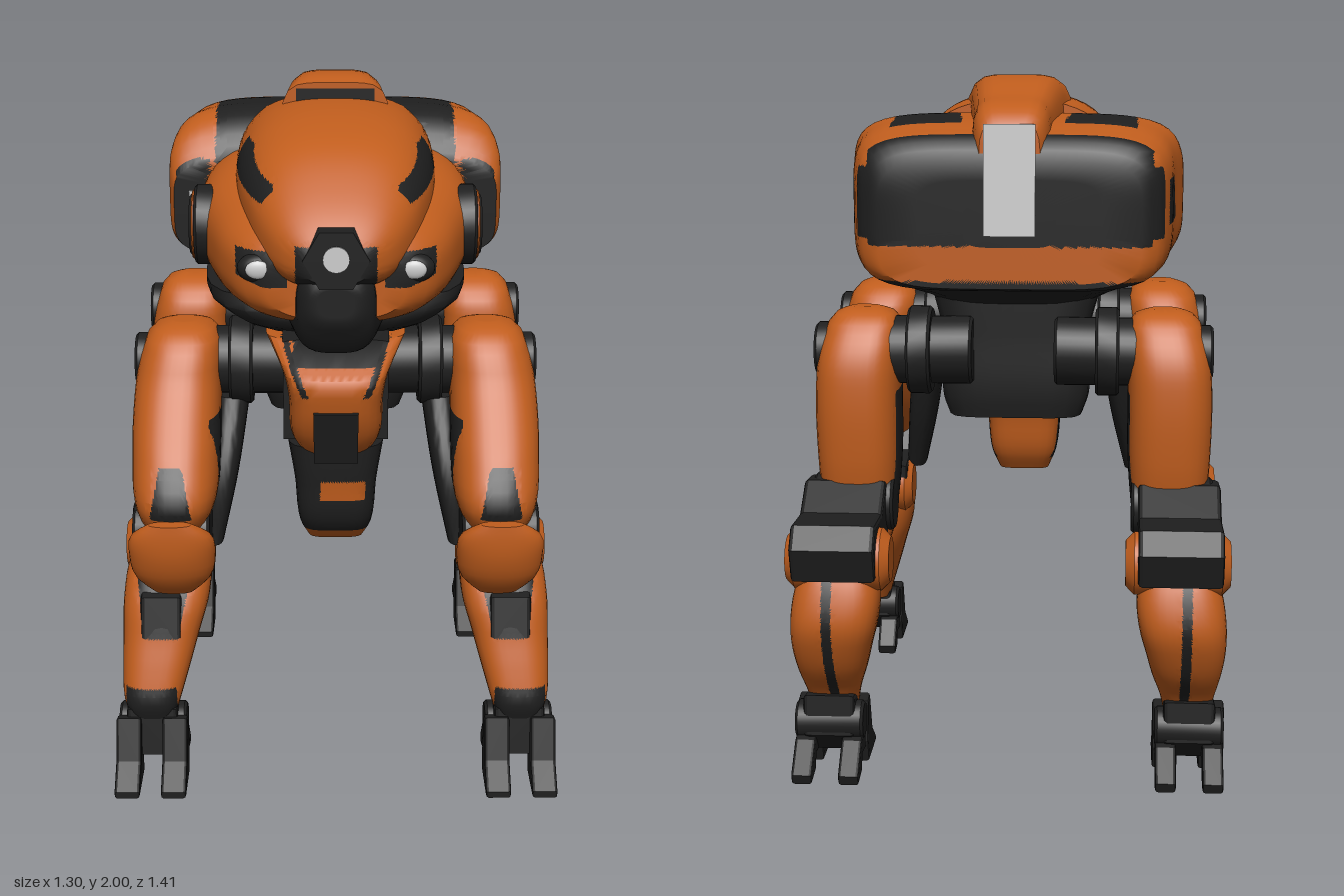
import * as THREE from 'three';
import { toCreasedNormals } from 'three/addons/utils/BufferGeometryUtils.js';

const material = (name, color) => {
  const m = new THREE.MeshStandardMaterial({ color });
  m.name = name;
  return m;
};

// Smooth tube along 'y' or 'z' through rows [t, centreX, halfWidth, low, high] with superellipse sections.
// paint(x, y, z) gives the material index; faces on a colour border are split so that the border is crisp.
function loft(axis, rows, e, paint = () => 0, around = 40) {
  const spline = new THREE.CubicInterpolant(rows.map(r => r[0]), rows.flatMap(r => r.slice(1)), 4);
  const ring = (t, k = 1) => {
    const [c, hw, lo, hi] = Array.from(spline.evaluate(t));
    const mid = (lo + hi) / 2, h = (hi - lo) / 2;
    return Array.from({ length: around + 1 }, (_, j) => {
      const a = (j % around) / around * Math.PI * 2, ca = Math.cos(a), sa = Math.sin(a);
      const r = k * (Math.abs(ca) ** e + Math.abs(sa) ** e) ** (-1 / e);
      return axis === 'z'
        ? new THREE.Vector3(c + hw * r * ca, mid + h * r * sa, t)
        : new THREE.Vector3(c + hw * r * ca, t, mid - h * r * sa);
    });
  };
  const caps = [0.001, 0.35, 0.7], first = rows[0][0], last = rows[rows.length - 1][0];
  const rings = caps.map(k => ring(first, k));
  for (let i = 0; i < rows.length - 1; i++) {
    const a = rows[i][0], b = rows[i + 1][0], n = Math.max(2, Math.ceil((b - a) / 0.03));
    for (let j = 0; j < n; j++) rings.push(ring(a + (b - a) * j / n));
  }
  rings.push(ring(last), ...caps.slice().reverse().map(k => ring(last, k)));
  const buckets = [[], [], []];
  const face = (a, b, c, depth) => {
    const m = a.clone().add(b).add(c).divideScalar(3), id = paint(m.x, m.y, m.z);
    if (depth && [a, b, c].some(p => paint(p.x, p.y, p.z) !== id)) {
      const [ab, bc, ca] = [[a, b], [b, c], [c, a]].map(([p, q]) => p.clone().lerp(q, 0.5));
      for (const t of [[a, ab, ca], [ab, b, bc], [ca, bc, c], [ab, bc, ca]]) face(...t, depth - 1);
    } else for (const v of [a, b, c]) buckets[id].push(v.x, v.y, v.z);
  };
  for (let i = 0; i < rings.length - 1; i++) for (let j = 0; j < around; j++) {
    face(rings[i][j], rings[i][j + 1], rings[i + 1][j + 1], 2);
    face(rings[i][j], rings[i + 1][j + 1], rings[i + 1][j], 2);
  }
  let geo = new THREE.BufferGeometry();
  geo.setAttribute('position', new THREE.Float32BufferAttribute(buckets.flat(), 3));
  geo = toCreasedNormals(geo, 0.75);
  let start = 0;
  buckets.forEach((b, i) => {
    if (b.length) geo.addGroup(start, b.length / 3, i);
    start += b.length / 3;
  });
  return geo;
}

// Copy reflected across x = 0, with corner order restored
function mirrored(source) {
  const geo = source.index ? source.toNonIndexed() : source.clone();
  for (const [key, attr] of Object.entries(geo.attributes)) {
    if (key === 'uv') continue;
    for (let i = 0; i < attr.count; i += 3) {
      const p = [0, 2, 1].map(k => [-attr.getX(i + k), attr.getY(i + k), attr.getZ(i + k)]);
      p.forEach((v, k) => attr.setXYZ(i + k, ...v));
    }
  }
  return geo;
}

// Chamfered drum along x from x0 to x1
function drum(x0, x1, y, z, r, b = 0.008) {
  const h = (x1 - x0) / 2;
  const profile = [[0, -h], [r - b, -h], [r, b - h], [r, h - b], [r - b, h], [0, h]].map(p => new THREE.Vector2(...p));
  return toCreasedNormals(new THREE.LatheGeometry(profile, 32).rotateZ(-Math.PI / 2), 0.5).translate((x0 + x1) / 2, y, z);
}
const block = (w, h, d, x, y, z, tilt = 0) =>
  new THREE.BoxGeometry(w, h, d).rotateX(tilt).translate(x, y, z);

// Side outline of [z, y] points extruded from x0 to x1 with bevelled rims
function slab(points, x0, x1, bevel = 0.012) {
  const shape = new THREE.Shape(points.map(([z, y]) => new THREE.Vector2(-z, y)));
  return new THREE.ExtrudeGeometry(shape, {
    depth: x1 - x0 - 2 * bevel, bevelThickness: bevel, bevelSize: bevel, bevelOffset: -bevel, bevelSegments: 2,
  }).translate(0, 0, x0 + bevel).rotateY(Math.PI / 2);
}

export function createModel() {
  const model = new THREE.Group();
  model.name = 'walker';
  const orange = material('orange armour', 0xc05d1d), dark = material('dark metal', 0x1f1f1f);
  const light = material('light grey', 0xcccccc), all = [orange, dark, light];
  const add = (name, geo, mat = all) => {
    const mesh = new THREE.Mesh(geo, mat);
    mesh.name = name;
    model.add(mesh);
  };
  const pair = (name, geo, mat = all) => {
    add(name + 'Left', geo, mat);
    add(name + 'Right', mirrored(geo), mat);
  };

  // Head
  add('headDome', loft('z', [
    [-0.1, 0, 0.29, 1.5, 1.93], [0.1, 0, 0.29, 1.5, 1.94], [0.3, 0, 0.28, 1.5, 1.92], [0.45, 0, 0.25, 1.5, 1.875],
    [0.58, 0, 0.2, 1.52, 1.785], [0.66, 0, 0.14, 1.54, 1.71], [0.695, 0, 0.09, 1.56, 1.665]], 2.6,
    (x, y, z) => {
      const ax = Math.abs(x), low = 1.785 - Math.max(0, z - 0.2) * 0.12;
      const strip = ax > 0.17 && z > 0.19 && z < 0.54 && y > low && y < 1.86 - Math.max(0, z - 0.3) * 0.3;
      return strip || (z > 0.55 && y < 1.66 && ax < 0.11) ? 1 : 0;
    }, 64));
  add('cheeks', loft('z', [
    [-0.05, 0, 0.38, 1.42, 1.82], [0.1, 0, 0.395, 1.41, 1.82], [0.22, 0, 0.39, 1.41, 1.8], [0.36, 0, 0.355, 1.4, 1.76],
    [0.5, 0, 0.305, 1.41, 1.71], [0.58, 0, 0.25, 1.42, 1.67], [0.62, 0, 0.19, 1.44, 1.64]], 2.8,
    (x, y, z) => {
      const ax = Math.abs(x);
      const eye = z > 0.5 && y > 1.53 + Math.max(0, ax - 0.2) * 0.3 && y < 1.625 && ax > 0.13 && ax < 0.275;
      return eye || y < 1.425 ? 1 : 0;
    }, 64));
  add('muzzle', loft('z', [
    [0.4, 0, 0.16, 1.37, 1.6], [0.55, 0, 0.13, 1.345, 1.6], [0.62, 0, 0.11, 1.345, 1.6],
    [0.66, 0, 0.1, 1.4, 1.6], [0.69, 0, 0.07, 1.45, 1.56]], 3), [dark]);
  add('cameraHousing', new THREE.CylinderGeometry(0.09, 0.1, 0.06, 6).rotateY(Math.PI / 6).rotateX(Math.PI / 2)
    .translate(0, 1.625, 0.668), dark);
  add('cameraLens', new THREE.CylinderGeometry(0.036, 0.036, 0.008, 20).rotateX(Math.PI / 2).translate(0, 1.63, 0.699), light);
  pair('eyeSocket', new THREE.SphereGeometry(1, 24, 16).scale(0.06, 0.042, 0.04).translate(0.21, 1.575, 0.575), dark);
  pair('eye', new THREE.SphereGeometry(1, 16, 12).scale(0.034, 0.026, 0.012).translate(0.212, 1.578, 0.61), light);
  pair('sideSocket', drum(0.32, 0.405, 1.605, 0.21, 0.116), dark);
  pair('sideRing', drum(0.33, 0.413, 1.605, 0.21, 0.1, 0.004), orange);
  pair('sideDisc', drum(0.33, 0.42, 1.605, 0.21, 0.091), dark);

  // Rear hull with side pods and raised spine
  add('rearHull', loft('z', [
    [-0.5, 0, 0.37, 1.43, 1.79], [-0.47, 0, 0.415, 1.42, 1.84], [-0.4, 0, 0.445, 1.42, 1.865],
    [-0.2, 0, 0.47, 1.425, 1.89], [-0.08, 0, 0.49, 1.435, 1.885], [0, 0, 0.495, 1.45, 1.83],
    [0.04, 0, 0.48, 1.46, 1.76]], 5,
    (x, y, z) => {
      const ax = Math.abs(x);
      const roof = y > 1.74 && z > -0.32 && ax < 0.355 && ax > 0.145 + (z + 0.32) * 0.1 + Math.max(0, z + 0.15) * 0.5;
      const rear = z < -0.44 && y > 1.55 && ax < 0.4;
      const side = ax > 0.4 && y > 1.6 && y < 1.73 && z > -0.39 && z < -0.2 - (y - 1.6) * 0.6;
      const corner = ax > 0.34 && z < -0.44 && y > 1.57 && y < 1.77;
      const vent = z > 0.03 && y < 1.76 && y > 1.48 && ax > 0.37 && ax < 0.472;
      return roof || rear || side || corner || vent || y < 1.45 ? 1 : 0;
    }, 96));
  add('ventLamp', block(0.03, 0.07, 0.008, -0.42, 1.63, 0.043), light);
  add('spine', loft('z', [
    [-0.49, 0, 0.085, 1.6, 1.89], [-0.46, 0, 0.1, 1.6, 1.92], [-0.3, 0, 0.115, 1.6, 1.96], [-0.13, 0, 0.135, 1.6, 1.995],
    [-0.01, 0, 0.15, 1.6, 1.998], [0.034, 0, 0.16, 1.6, 1.985]], 5));
  add('spineVent', block(0.23, 0.036, 0.008, 0, 1.95, 0.034), dark);
  add('rearPanel', block(0.145, 0.31, 0.009, 0, 1.735, -0.502, 0.04), light);
  add('hullUnderside', loft('y', [
    [1.34, 0, 0.24, -0.25, 0.42], [1.37, 0, 0.29, -0.3, 0.48], [1.42, 0, 0.37, -0.45, 0.5], [1.46, 0, 0.38, -0.46, 0.48]], 4), [dark]);

  // Pelvis, chest and belly
  add('pelvis', loft('y', [
    [1, 0, 0.2, -0.25, 0.12], [1.06, 0, 0.22, -0.26, 0.13], [1.25, 0, 0.22, -0.26, 0.14], [1.37, 0, 0.25, -0.26, 0.2]], 6), [dark]);
  add('neck', block(0.3, 0.34, 0.4, 0, 1.2, 0.25), dark);
  add('chest', loft('y', [
    [0.97, 0, 0.075, 0.3, 0.47], [1.05, 0, 0.125, 0.25, 0.54], [1.18, 0, 0.135, 0.25, 0.59],
    [1.25, 0, 0.15, 0.25, 0.585], [1.33, 0, 0.2, 0.22, 0.45]], 4,
    (x, y, z) => {
      const off = Math.abs(x) - (y - 1.2) * 0.45;
      const groove = y > 1.2 && off > 0.075 && off < 0.095;
      return z < 0.28 || groove || (y > 1.275 && Math.abs(x) < 0.12) ? 1 : 0;
    }));
  add('chestPlate', block(0.125, 0.17, 0.05, 0, 1.08, 0.545, 0.28), dark);
  add('belly', loft('y', [
    [0.7, 0, 0.08, 0.29, 0.4], [0.76, 0, 0.105, 0.25, 0.46], [0.9, 0, 0.12, 0.22, 0.49], [1.02, 0, 0.14, 0.18, 0.5]], 4,
    (x, y, z) => z < 0.28 || y < 0.74 || (z > 0.45 && y > 0.85 && y < 0.91 && x > -0.045 && x < 0.085) ? 0 : 1));

  // Front legs
  pair('frontThigh', loft('y', [
    [0.78, 0.465, 0.08, 0.39, 0.61], [0.88, 0.46, 0.118, 0.29, 0.665], [1, 0.46, 0.127, 0.2, 0.605],
    [1.1, 0.46, 0.127, 0.145, 0.53], [1.2, 0.455, 0.122, 0.115, 0.455], [1.27, 0.445, 0.112, 0.125, 0.415],
    [1.32, 0.44, 0.085, 0.175, 0.365], [1.338, 0.44, 0.04, 0.23, 0.31]], 2.7,
    (x, y, z) => {
      const patch = z > 0.5 && Math.abs(x - 0.465) < 0.03 + (1.01 - y) * 0.2 && y > 0.86 && y < 1;
      const inner = x < 0.365 && y < 1.1 && z < 0.5;
      return patch || inner ? 1 : 0;
    }));
  pair('frontStrut', loft('y', [
    [0.7, 0.36, 0.03, 0.3, 0.46], [0.9, 0.33, 0.045, 0.2, 0.45], [1.12, 0.3, 0.05, 0.12, 0.35]], 3), [dark]);
  pair('frontKnee', drum(0.36, 0.58, 0.775, 0.52, 0.09), dark);
  pair('frontKneeGuard', loft('y', [
    [0.62, 0.465, 0.055, 0.57, 0.62], [0.67, 0.465, 0.105, 0.54, 0.665], [0.75, 0.465, 0.122, 0.55, 0.697],
    [0.82, 0.465, 0.11, 0.6, 0.703], [0.86, 0.465, 0.06, 0.655, 0.7]], 2.2), [orange]);
  pair('frontLink', slab([[0.56, 0.87], [0.42, 0.83], [0.36, 0.74], [0.22, 0.72], [0.22, 0.63], [0.34, 0.6],
    [0.46, 0.64], [0.58, 0.72]], 0.38, 0.58), dark);
  pair('frontShin', loft('y', [
    [0.19, 0.545, 0.07, 0.43, 0.575], [0.24, 0.545, 0.085, 0.4, 0.59], [0.32, 0.535, 0.1, 0.34, 0.57], [0.42, 0.52, 0.115, 0.27, 0.535],
    [0.52, 0.505, 0.128, 0.235, 0.5], [0.62, 0.495, 0.118, 0.23, 0.43], [0.69, 0.49, 0.08, 0.27, 0.36]], 3,
    (x, y, z) => {
      const patch = z > 0.4 && Math.abs(x - 0.51) < 0.02 + (y - 0.3) * 0.2 && y > 0.43 && y < 0.63;
      const cuff = z > 0.5 && y < 0.29 && Math.abs(x - 0.545) < 0.075;
      const stripe = z < 0.42 && Math.abs(x - 0.51) < 0.014;
      return patch || cuff || stripe ? 1 : 0;
    }));
  pair('frontShinPad', slab([[0.5, 0.55], [0.42, 0.57], [0.44, 0.43], [0.53, 0.43]], 0.455, 0.575), dark);
  pair('frontShinJoint', drum(0.365, 0.625, 0.64, 0.3, 0.09, 0.025), orange);

  // Rear legs
  pair('rearThigh', loft('y', [
    [0.58, 0.46, 0.06, -0.38, -0.29], [0.65, 0.46, 0.095, -0.4, -0.21], [0.75, 0.46, 0.11, -0.4, -0.155],
    [0.9, 0.46, 0.122, -0.42, -0.115], [1.1, 0.46, 0.124, -0.425, -0.11], [1.2, 0.455, 0.12, -0.41, -0.115],
    [1.27, 0.445, 0.11, -0.375, -0.13], [1.32, 0.44, 0.085, -0.33, -0.18], [1.338, 0.44, 0.04, -0.28, -0.23]], 3,
    (x, y, z) => (z > -0.13 && y < 1.2) || (x < 0.36 && y < 1.1 && z > -0.35) ? 1 : 0));
  pair('rearKnee', drum(0.35, 0.588, 0.76, -0.33, 0.085), dark);
  pair('rearLink', slab([[-0.3, 0.83], [-0.4, 0.84], [-0.5, 0.77], [-0.66, 0.78], [-0.71, 0.72], [-0.68, 0.62],
    [-0.5, 0.6], [-0.36, 0.64], [-0.27, 0.7]], 0.37, 0.61), dark);
  pair('rearShin', loft('y', [
    [0.19, 0.52, 0.07, -0.53, -0.43], [0.24, 0.52, 0.08, -0.56, -0.435], [0.32, 0.515, 0.1, -0.63, -0.44],
    [0.4, 0.51, 0.115, -0.675, -0.455], [0.48, 0.5, 0.125, -0.7, -0.47], [0.58, 0.49, 0.12, -0.68, -0.49],
    [0.68, 0.49, 0.08, -0.63, -0.53]], 3,
    (x, y, z) => (z < -0.53 && Math.abs(x - 0.51) < 0.014) || (z > -0.47 && y < 0.29 && Math.abs(x - 0.52) < 0.07) ? 1 : 0));
  pair('rearShinPad', slab([[-0.425, 0.53], [-0.53, 0.55], [-0.52, 0.4], [-0.46, 0.4]], 0.44, 0.57), dark);
  pair('rearShinJoint', drum(0.335, 0.632, 0.66, -0.58, 0.09, 0.025), orange);

  // Hips, shared by both leg sets
  for (const [name, z] of [['front', 0.26], ['rear', -0.27]]) {
    pair(name + 'HipAxle', drum(0.12, 0.38, 1.21, z, 0.1), dark);
    pair(name + 'HipCollar', drum(0.24, 0.31, 1.21, z, 0.13), dark);
    pair(name + 'HipDisc', drum(0.5, 0.584, 1.21, z, 0.08), dark);
  }

  // Feet: ankle, two toes and two heel spurs
  for (const [name, x, dz, heel] of [['front', 0.545, 0, 0.38], ['rear', 0.525, -1.045, 0.355]]) {
    const move = pts => pts.map(([z, y]) => [z + dz, y]);
    pair(name + 'Ankle', drum(x - 0.1, x + 0.1, 0.15, 0.505 + dz, 0.058), dark);
    pair(name + 'AnkleBlock', slab(move([[0.57, 0.22], [0.46, 0.24], [0.45, 0.12], [0.5, 0.06], [0.59, 0.08]]), x - 0.075, x + 0.075), dark);
    for (const side of [-1, 1]) {
      const cx = x + side * 0.068;
      pair(name + 'Toe', slab(move([[0.59, 0.2], [0.55, 0.19], [0.53, 0.07], [0.55, 0], [0.705, 0], [0.705, 0.02], [0.63, 0.08]]), cx - 0.037, cx + 0.037, 0.008), dark);
      pair(name + 'Heel', slab(move([[0.53, 0.14], [0.44, 0.11], [heel, 0.035], [heel + 0.01, 0.005], [0.44, 0.015], [0.46, 0.06], [0.53, 0.05]]), cx - 0.03, cx + 0.03, 0.008), dark);
    }
  }
  return model;
}
